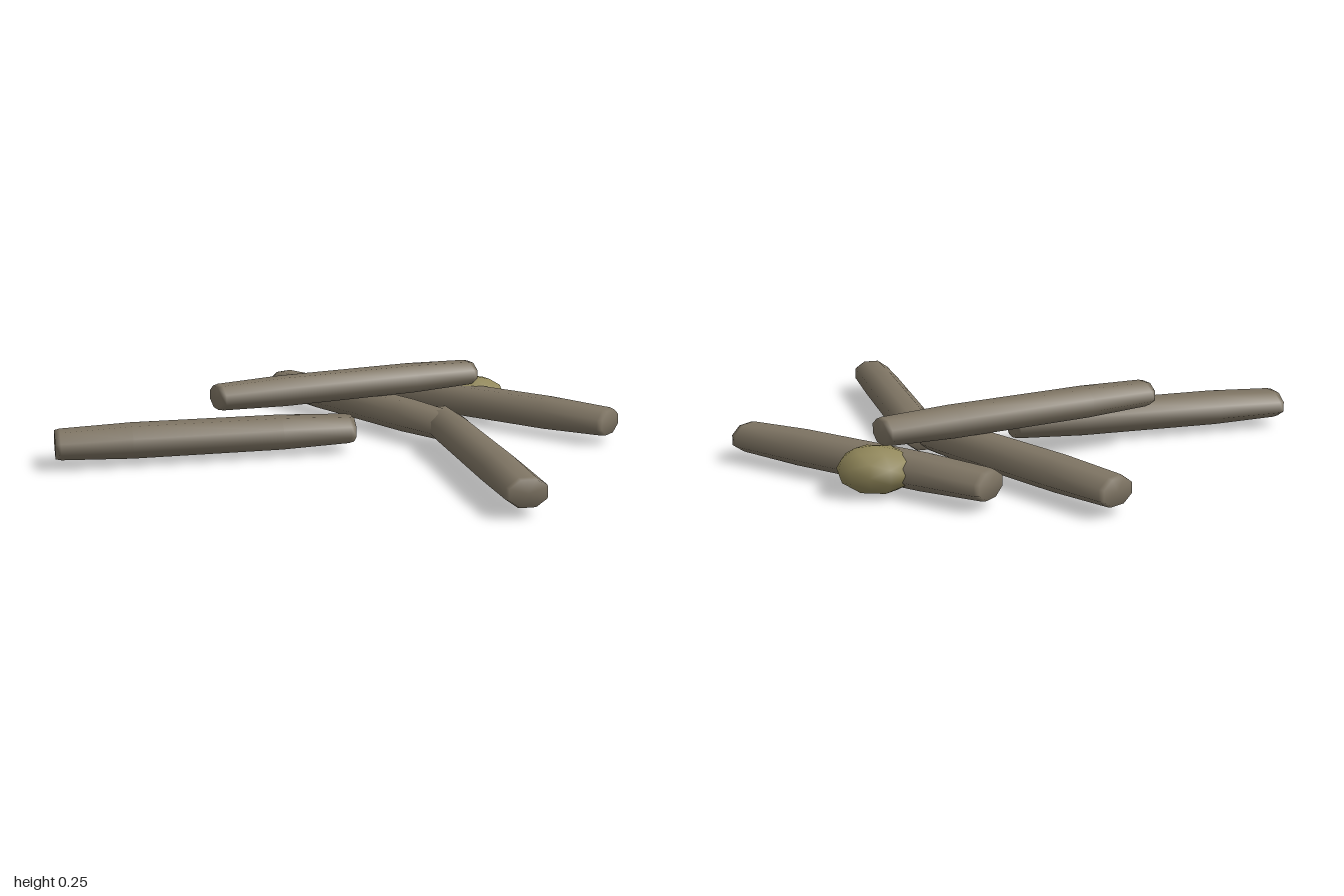
import * as THREE from 'three';
import { mergeVertices } from 'three/addons/utils/BufferGeometryUtils.js';

const bark = new THREE.MeshStandardMaterial({ color: 0x7f7564 });
bark.name = 'bark';
const moss = new THREE.MeshStandardMaterial({ color: 0x91875a });
moss.name = 'moss';

// Weld corners so that the low-poly surface is shaded smoothly
function smooth(geometry) {
  geometry.deleteAttribute('uv');
  geometry.deleteAttribute('normal');
  const welded = mergeVertices(geometry, 1e-4);
  welded.computeVertexNormals();
  return welded;
}

// Eight-sided log along x: boxy section, swollen middle, blunt ends
function logGeometry(length, w0, w1, height) {
  const g = new THREE.CylinderGeometry(1, 1, 1, 8, 5, false, Math.PI / 8);
  g.rotateZ(-Math.PI / 2);
  const stations = [-1, -0.965, -0.5, 0.5, 0.965, 1];
  const heights = [0.77, 0.84, 1, 1, 0.84, 0.77];
  const widths = [0.91, 0.98, 1, 1, 0.98, 0.91];
  const edge = Math.cos(Math.PI / 8); // distance of the flat sides
  const p = g.attributes.position;
  for (let i = 0; i < p.count; i++) {
    const k = Math.round((p.getX(i) + 0.5) * 5);
    const t = stations[k];
    const width = THREE.MathUtils.lerp(w0, w1, (t + 1) / 2);
    p.setXYZ(i, t * length / 2,
      p.getY(i) / edge * height / 2 * heights[k],
      p.getZ(i) / edge * width / 2 * widths[k]);
  }
  return smooth(g);
}

export function createModel() {
  const group = new THREE.Group();
  group.name = 'logPile';

  // name, start x z, end x z, centre height, start and end width, thickness
  const logs = [
    ['frontLeftLog', -0.965, 0.413, 0.034, 0.005, 0.08, 0.17, 0.14, 0.117],
    ['crossingLog', -0.385, -0.745, 0.408, -0.055, 0.08, 0.145, 0.145, 0.117],
    ['frontRightLog', 0.325, -0.205, 0.708, 0.752, 0.08, 0.135, 0.14, 0.117],
    ['backLog', 0.026, -0.72, 0.974, -0.238, 0.08, 0.148, 0.148, 0.117],
    ['topLog', -0.463, 0.081, 0.423, -0.532, 0.194, 0.13, 0.13, 0.107],
  ];
  for (const [name, x0, z0, x1, z1, y, w0, w1, height] of logs) {
    const dx = x1 - x0, dz = z1 - z0;
    const log = new THREE.Mesh(logGeometry(Math.hypot(dx, dz), w0, w1, height), bark);
    log.name = name;
    log.position.set((x0 + x1) / 2, y, (z0 + z1) / 2);
    log.rotation.y = Math.atan2(-dz, dx);
    group.add(log);
  }

  // Faceted moss clump resting over the back log
  const clump = new THREE.Mesh(smooth(new THREE.IcosahedronGeometry(1, 1)), moss);
  clump.name = 'mossClump';
  clump.scale.set(0.135, 0.083, 0.113);
  clump.position.set(0.428, 0.083, -0.592);
  group.add(clump);

  return group;
}
